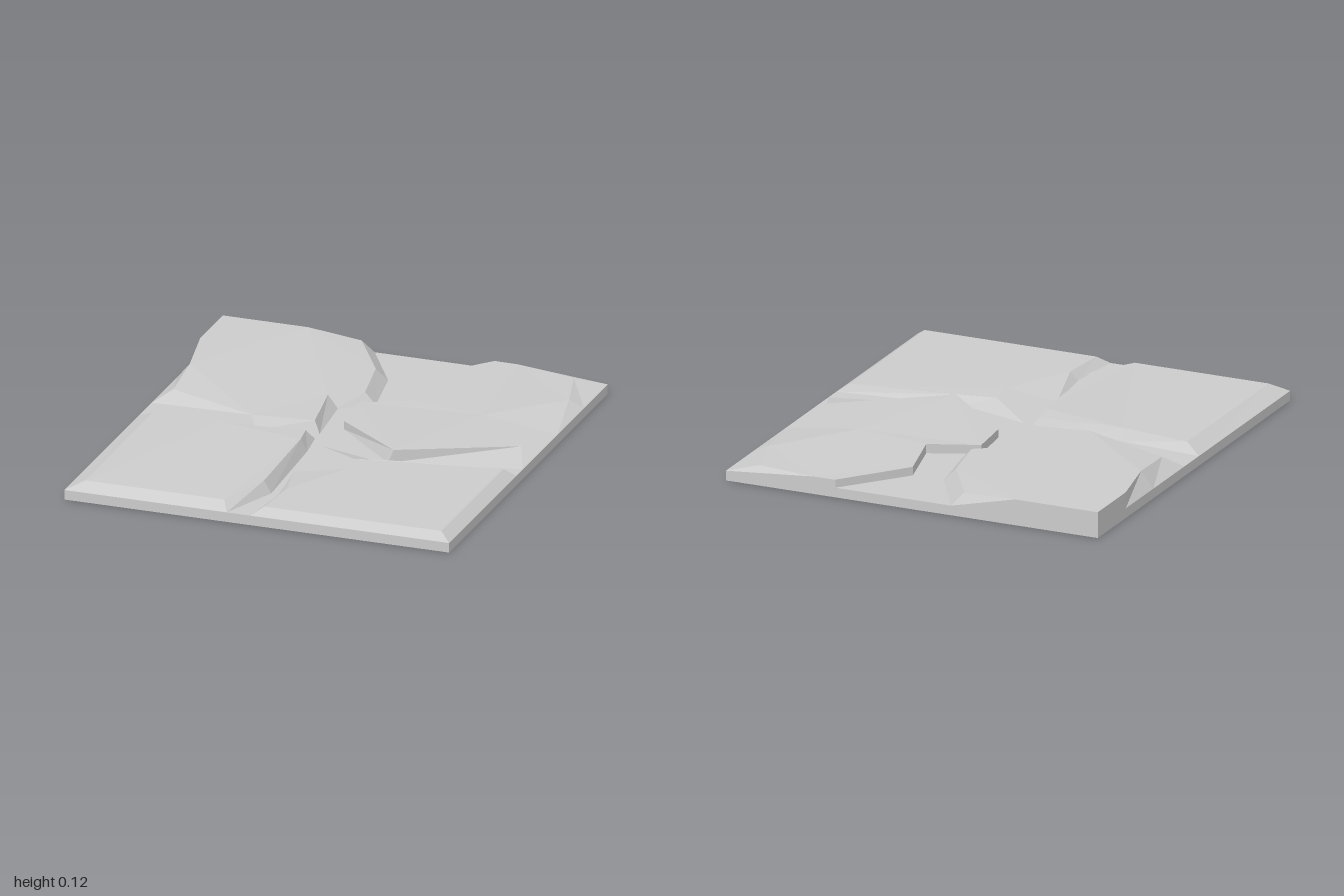
import * as THREE from 'three';

const RIM = 0.045; // height of the outer rim and of the crack floor

// Each corner: [top x, top y, top z, foot x, foot z], counterclockwise from above
const PLATES = {
  backRightPlate: [
    [-0.9, 0.12, -1, -0.9, -1], [-0.9, 0.12, -0.71, -0.9, -0.71], [-0.84, 0.118, -0.42, -0.9, -0.42],
    [-0.82, 0.098, -0.16, -0.9, -0.1], [-0.39, 0.1, 0.01, -0.36, 0.045], [-0.11, 0.098, -0.03, -0.08, -0.01],
    [-0.16, 0.1, -0.33, -0.11, -0.32], [-0.02, 0.098, -0.42, 0.03, -0.42], [-0.07, 0.1, -0.69, -0.02, -0.71],
    [-0.24, 0.105, -0.97, -0.19, -1], [-0.5, 0.12, -1, -0.5, -1],
  ],
  backLeftPlate: [
    [0.37, 0.082, -1, 0.37, -1], [0.13, 0.085, -0.71, 0.13, -0.71], [0.2, 0.088, -0.42, 0.2, -0.42],
    [-0.02, 0.084, -0.32, -0.02, -0.32], [0, 0.084, -0.1, 0, -0.1], [0.34, 0.103, 0.19, 0.32, 0.205],
    [0.83, 0.08, -0.1, 0.9, 0.07], [0.55, 0.09, -0.37, 0.9, -0.37], [0.83, 0.075, -0.7, 0.9, -0.7],
    [0.76, 0.076, -0.95, 0.9, -1], [0.48, 0.081, -1, 0.48, -1],
  ],
  frontLeftPlate: [
    [0.33, 0.08, 0.26, 0.32, 0.22], [0.19, 0.078, 0.29, -0.02, 0.12], [0.2, 0.08, 0.42, -0.03, 0.45],
    [0.04, 0.08, 0.73, 0, 0.73], [0.02, 0.08, 0.96, -0.03, 1], [0.85, 0.08, 0.96, 0.9, 1],
    [0.85, 0.08, 0.18, 0.9, 0.15],
  ],
  frontRightPlate: [
    [-0.82, 0.085, 0.1, -0.9, 0.05], [-0.82, 0.083, 0.95, -0.9, 1], [-0.17, 0.083, 0.95, -0.14, 1],
    [-0.07, 0.1, 0.72, -0.035, 0.72], [-0.09, 0.1, 0.2, -0.06, 0.2], [-0.11, 0.095, 0.085, -0.08, 0.05],
    [-0.36, 0.095, 0.115, -0.36, 0.08], [-0.5, 0.095, 0.12, -0.52, 0.085],
  ],
};

// Fill a ring of points with upward-facing triangles
function cap(ring) {
  const flat = ring.map((p) => new THREE.Vector2(p.x, p.z));
  const out = [];
  for (const [i, j, k] of THREE.ShapeUtils.triangulateShape(flat, [])) {
    const a = ring[i], b = ring[j], c = ring[k];
    const up = b.clone().sub(a).cross(c.clone().sub(a)).y > 0;
    out.push(a, up ? b : c, up ? c : b);
  }
  return out;
}

// Band of outward-facing quads between two matching rings
function band(top, foot) {
  const out = [];
  top.forEach((t, i) => {
    const n = (i + 1) % top.length;
    out.push(foot[i], foot[n], top[n], foot[i], top[n], t);
  });
  return out;
}

export function createModel() {
  const group = new THREE.Group();
  const material = new THREE.MeshStandardMaterial({
    color: 0xcccccc, flatShading: true, side: THREE.DoubleSide,
  });
  const add = (name, points) => {
    const geometry = new THREE.BufferGeometry().setFromPoints(points);
    geometry.computeVertexNormals();
    const mesh = new THREE.Mesh(geometry, material);
    mesh.name = name;
    group.add(mesh);
  };

  // Four broken plates with bevelled or upright sides
  const feet = {};
  for (const [name, corners] of Object.entries(PLATES)) {
    const top = corners.map(([x, y, z]) => new THREE.Vector3(x, y, z));
    feet[name] = corners.map((c) => new THREE.Vector3(c[3], RIM, c[4]));
    add(name, [...cap(top), ...band(top, feet[name])]);
  }

  // Crack floor fills the gaps between the plates' feet
  const { backRightPlate: a, backLeftPlate: b, frontLeftPlate: c, frontRightPlate: d } = feet;
  add('crackFloor', cap([
    ...a.slice(3, 10), ...b.slice(0, 7), c[6], ...c.slice(0, 5), ...d.slice(2), d[0],
  ]));

  // Low outer rim, open underneath
  const rim = (y) => [[-0.9, -1], [-0.9, 1], [0.9, 1], [0.9, -1]].map(([x, z]) => new THREE.Vector3(x, y, z));
  add('outerRim', band(rim(RIM), rim(0)));

  return group;
}
